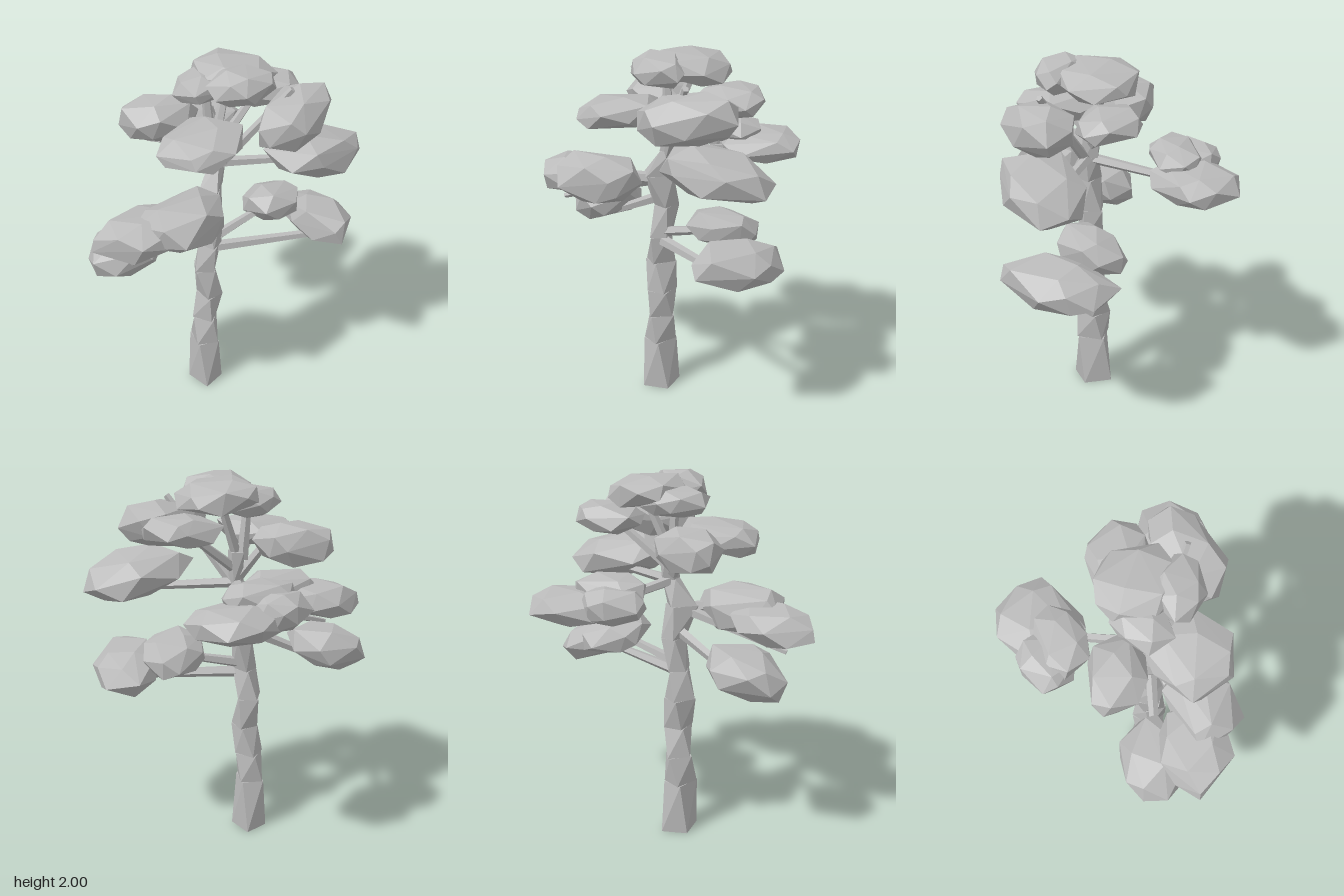
import * as THREE from 'three';
import { ConvexGeometry } from 'three/addons/geometries/ConvexGeometry.js';

const V = (x, y, z) => new THREE.Vector3(x, y, z);

function seeded(seed) {
  let s = seed * 7919 + 17;
  return () => (s = (s * 16807) % 2147483647) / 2147483647;
}

// Swells a round profile slightly toward a box
const swell = (v) => Math.sign(v) * Math.pow(Math.abs(v), 0.85);

// Faceted foliage clump filling the box [x0,x1] [y0,y1] [z0,z1].
// slant skews it diagonally in plan, tiltX and tiltZ raise it along x and z.
function clumpGeometry([x0, x1, y0, y1, z0, z1, slant = 0, tiltX = 0, tiltZ = 0], seed) {
  const rnd = seeded(seed), pts = [], n = 20;
  for (let k = 0; k < 6; k++) rnd();
  for (let i = 0; i < n; i++) {
    const h = 1 - (2 * (i + 0.5)) / n;
    const a = i * 2.39996 + seed + (rnd() - 0.5) * 0.6;
    const r = Math.sqrt(1 - h * h) * (0.92 + 0.16 * rnd());
    const p = V(swell(r * Math.cos(a)), swell(h), swell(r * Math.sin(a)));
    p.x += slant * p.z;
    p.y += tiltX * p.x + tiltZ * p.z;
    pts.push(p);
  }
  const box = new THREE.Box3().setFromPoints(pts);
  const size = box.getSize(V(0, 0, 0));
  for (const p of pts) {
    p.sub(box.min).divide(size);
    p.set(x0 + p.x * (x1 - x0), y0 + p.y * (y1 - y0), z0 + p.z * (z1 - z0));
  }
  return new ConvexGeometry(pts);
}

// Tapered stick between two points
function stickGeometry(a, b, r0, r1) {
  const d = b.clone().sub(a);
  const g = new THREE.CylinderGeometry(r1, r0, d.length(), 5);
  g.applyQuaternion(new THREE.Quaternion().setFromUnitVectors(V(0, 1, 0), d.normalize()));
  const m = a.clone().add(b).multiplyScalar(0.5);
  return g.translate(m.x, m.y, m.z);
}

// Trunk segment: hull of two twisted, slightly skewed four-sided rings
function segmentGeometry(a, b, twist) {
  const pts = [];
  [[a, twist], [b, twist + 0.45]].forEach(([[x, y, z, rx, rz], t]) => {
    for (let i = 0; i < 4; i++) {
      const q = t + (i * Math.PI) / 2;
      pts.push(V(x + rx * Math.cos(q), y, z + rz * Math.sin(q + 0.2)));
    }
  });
  return new ConvexGeometry(pts);
}

export function createModel() {
  const tree = new THREE.Group();
  tree.name = 'tree';
  const grey = new THREE.MeshStandardMaterial({ color: 0xbababa, flatShading: true });
  grey.name = 'stone grey';
  const add = (parent, name, geometry) => {
    const mesh = new THREE.Mesh(geometry, grey);
    mesh.name = name;
    parent.add(mesh);
  };
  const group = (name) => {
    const g = new THREE.Group();
    g.name = name;
    tree.add(g);
    return g;
  };

  // Trunk rings: x, y, z, radius x, radius z
  const rings = [
    [-0.077, 0, 0.012, 0.106, 0.106],
    [-0.077, 0.29, 0.02, 0.096, 0.09],
    [-0.077, 0.45, 0.01, 0.088, 0.086],
    [-0.05, 0.61, 0.005, 0.082, 0.08],
    [-0.075, 0.78, 0.015, 0.078, 0.088],
    [-0.045, 0.94, 0.01, 0.078, 0.066],
    [-0.05, 1.12, -0.02, 0.066, 0.066],
    [-0.03, 1.3, 0.025, 0.076, 0.098],
    [-0.02, 1.44, -0.035, 0.045, 0.05],
    [-0.035, 1.6, -0.05, 0.055, 0.045],
  ];
  const trunk = group('trunk');
  for (let i = 0; i < rings.length - 1; i++)
    add(trunk, 'trunkSegment', segmentGeometry(rings[i], rings[i + 1], i * 0.6 + 0.9));

  // Branches: start, end, start radius, end radius
  const branches = group('branches');
  [
    [V(-0.02, 0.92, 0), V(0.46, 0.92, -0.45), 0.032, 0.02],
    [V(-0.03, 0.97, 0), V(0.16, 1.08, -0.36), 0.03, 0.02],
    [V(-0.05, 1.17, 0), V(-0.36, 0.91, 0.43), 0.032, 0.018],
    [V(-0.03, 1.27, 0.05), V(-0.18, 1.09, 0.58), 0.032, 0.015],
    [V(-0.02, 1.28, 0.03), V(0.02, 1.3, 0.4), 0.035, 0.025],
    [V(-0.02, 1.43, -0.03), V(0.4, 1.41, -0.38), 0.03, 0.02],
    [V(-0.02, 1.43, -0.03), V(-0.42, 1.36, -0.46), 0.03, 0.02],
    [V(-0.02, 1.4, -0.03), V(0.335, 1.87, -0.17), 0.03, 0.018],
    [V(-0.01, 1.43, -0.04), V(-0.2, 1.7, 0.05), 0.032, 0.02],
    [V(-0.04, 1.57, -0.03), V(0.05, 1.66, 0.22), 0.03, 0.02],
    [V(-0.03, 1.5, -0.04), V(0.06, 1.75, -0.35), 0.03, 0.02],
    [V(-0.06, 1.56, -0.03), V(-0.08, 1.86, -0.01), 0.032, 0.022],
    [V(-0.03, 1.56, -0.03), V(-0.03, 1.88, -0.17), 0.03, 0.02],
  ].forEach(([a, b, r0, r1]) => add(branches, 'branch', stickGeometry(a, b, r0, r1)));

  // Foliage boxes: x, y, z ranges, then slant, tilt along x, tilt along z
  const foliage = group('foliage');
  [
    // crown
    [-0.22, 0.03, 1.79, 1.94, -0.19, 0.17],
    [0, 0.285, 1.82, 2, -0.15, 0.15, -0.35],
    [-0.22, 0.215, 1.82, 1.99, -0.36, 0.05, 0, 0, 0.25],
    // upper tier
    [0.19, 0.49, 1.6, 1.86, -0.44, 0.08, -0.1, 0, -0.25],
    [-0.505, -0.14, 1.55, 1.775, -0.1, 0.25, -0.3],
    [-0.17, 0.25, 1.57, 1.75, 0, 0.43, 0, 0.15, -0.25],
    [-0.12, 0.25, 1.67, 1.83, -0.54, -0.18, -0.25, 0, -0.1],
    // middle tier
    [0.18, 0.615, 1.35, 1.61, -0.63, -0.05, -0.2, 0, 0.35],
    [-0.6, -0.18, 1.3, 1.48, -0.715, -0.25],
    [-0.625, -0.35, 1.33, 1.52, -0.46, -0.13],
    [-0.52, -0.22, 1.4, 1.555, -0.5, -0.14, -0.3],
    [-0.18, 0.18, 1.14, 1.41, 0.1, 0.57, -0.1],
    [-0.365, 0.05, 1.13, 1.34, 0.28, 0.715, -0.35, 0.1, -0.2],
    // lower tier
    [-0.53, -0.15, 0.9, 1.15, 0.16, 0.58, -0.15, 0.2, -0.3],
    [0, 0.32, 0.97, 1.19, -0.53, -0.16, 0.1, 0.15, 0.25],
    [0.13, 0.62, 0.87, 1.1, -0.685, -0.24, 0.6, 0, 0.3],
  ].forEach((box, i) => add(foliage, 'foliageClump', clumpGeometry(box, i + 1)));

  return tree;
}
